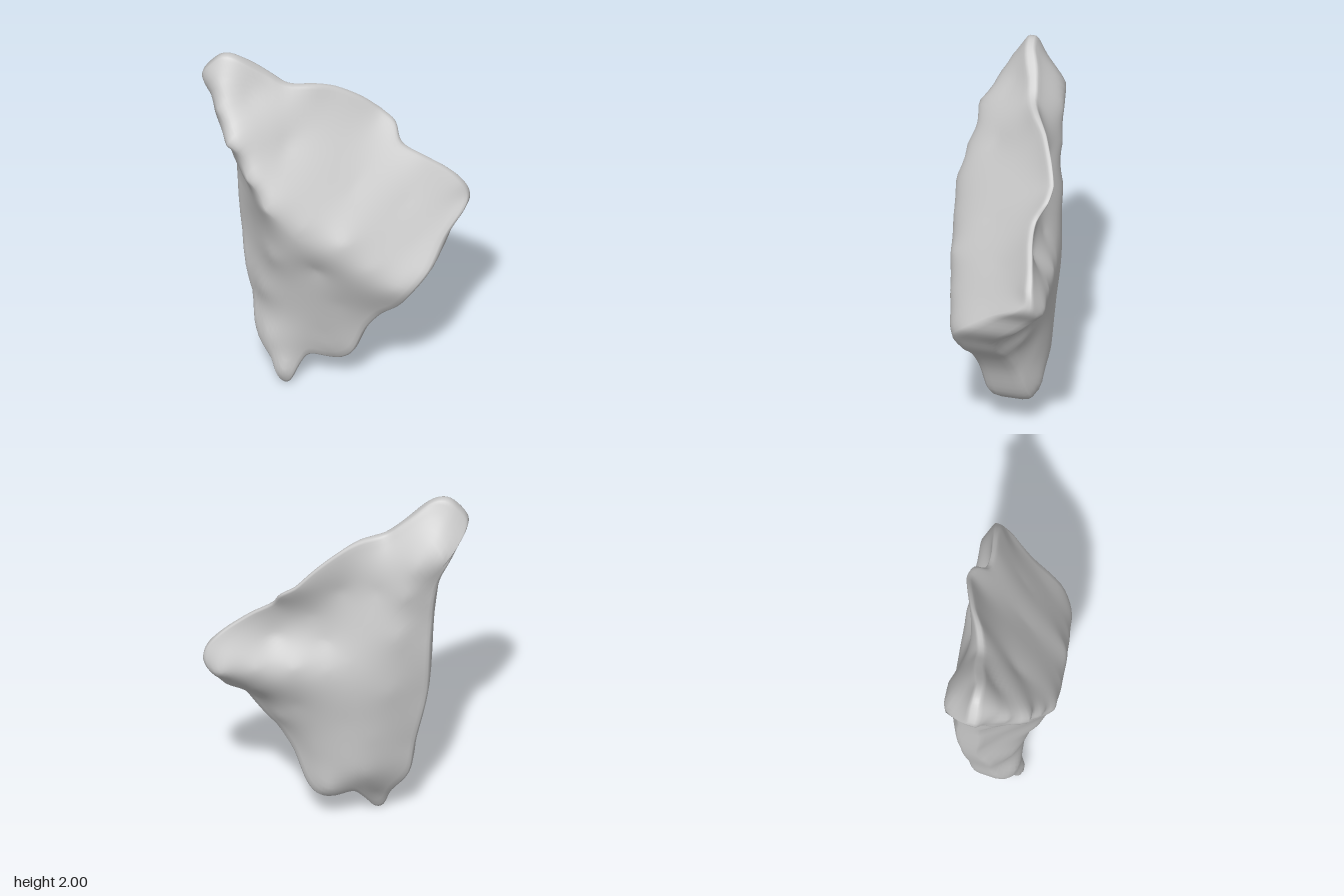
import * as THREE from 'three';
import { mergeVertices } from 'three/addons/utils/BufferGeometryUtils.js';

// Rim of the rock, counter-clockwise from the bottom tip: x, y, front z, back z
const rim = [
  [-0.23, 0.02, 0.13, 0.04], [-0.18, 0.015, 0.13, 0.03], [-0.13, 0.12, 0.11, -0.05], [-0.08, 0.18, 0.09, -0.1],
  [0.03, 0.155, 0.05, -0.12], [0.1, 0.18, 0.06, -0.14], [0.16, 0.25, 0.08, -0.13], [0.23, 0.42, 0.1, -0.1],
  [0.32, 0.55, 0.125, -0.07], [0.42, 0.64, 0.15, -0.04], [0.5, 0.75, 0.17, -0.05], [0.58, 0.86, 0.09, -0.17],
  [0.62, 0.98, -0.07, -0.28], [0.675, 1.07, -0.2, -0.31], [0.68, 1.13, -0.26, -0.31], [0.65, 1.2, -0.26, -0.3],
  [0.57, 1.28, -0.25, -0.28], [0.45, 1.36, -0.22, -0.25], [0.33, 1.43, -0.21, -0.24], [0.28, 1.52, -0.26, -0.29],
  [0.2, 1.58, -0.27, -0.3], [0.1, 1.67, -0.23, -0.26], [-0.02, 1.75, -0.17, -0.2], [-0.12, 1.79, -0.1, -0.14],
  [-0.25, 1.81, -0.04, -0.08], [-0.35, 1.88, -0.01, -0.06], [-0.48, 1.98, 0.04, -0.01], [-0.56, 2, 0.05, 0],
  [-0.62, 1.96, 0.06, 0], [-0.68, 1.86, 0.06, 0], [-0.62, 1.74, 0.06, -0.12], [-0.54, 1.55, 0.07, -0.11],
  [-0.505, 1.3, 0.01, -0.1], [-0.48, 0.85, -0.01, -0.09], [-0.41, 0.5, 0.04, -0.07], [-0.375, 0.29, 0.09, -0.05],
  [-0.28, 0.15, 0.14, -0.02],
];

// Ridges and hollows inside the rim: x, y, z
const frontRelief = [
  [-0.57, 1.87, 0.13], [-0.57, 1.75, 0.18], [-0.48, 1.6, 0.28], [-0.36, 1.42, 0.31], [-0.25, 1.27, 0.345],
  [-0.05, 1.17, 0.31], [0.16, 1.07, 0.265], [0.3, 0.92, 0.235], [0.45, 0.8, 0.2], [-0.4, 1.8, 0.08],
  [-0.2, 1.55, 0.12], [0, 1.45, 0.05], [0.15, 1.3, 0.05], [0.4, 1.18, -0.05], [0.5, 1, 0.02],
  [-0.41, 1.3, 0.145], [-0.39, 1, 0.1], [-0.25, 0.9, 0.24], [-0.33, 0.6, 0.14],
  [-0.3, 0.3, 0.15], [-0.2, 0.1, 0.17], [0, 0.85, 0.23], [0.1, 0.6, 0.16], [0, 0.35, 0.11], [0.03, 0.23, 0.08],
];
const backRelief = [
  // column on the right side, up to its long upright edge
  [-0.53, 1.83, -0.11], [-0.57, 1.74, -0.155], [-0.43, 1.68, -0.18], [-0.38, 1.5, -0.19], [-0.35, 1.25, -0.2],
  [-0.22, 1.5, -0.16], [-0.17, 1.22, -0.21], [-0.3, 0.9, -0.2],
  // sloping recess
  [-0.03, 1.5, -0.17], [0.12, 1.35, -0.19], [0.05, 1.2, -0.2], [0.32, 1.22, -0.21],
  // protruding wedge below the recess
  [-0.13, 0.97, -0.245], [0.03, 1.05, -0.265], [0.2, 1.07, -0.295], [0.4, 1.07, -0.325], [0.6, 1.04, -0.35],
  // lower slope and foot
  [0.42, 0.88, -0.24], [0.2, 0.8, -0.23], [0.3, 0.66, -0.15], [-0.06, 0.7, -0.23], [0.12, 0.5, -0.18],
  [-0.2, 0.6, -0.195], [0, 0.4, -0.2], [-0.15, 0.35, -0.18], [0.03, 0.23, -0.18], [-0.2, 0.13, -0.02],
];

// Smooth surface z(x, y) through scattered points (radial basis plus a plane)
function surfaceThrough(points) {
  const n = points.length, size = n + 3;
  const kernel = (p, x, y) => Math.hypot(p[0] - x, p[1] - y) ** 1.4;
  const row = (x, y) => [...points.map((p) => kernel(p, x, y)), 1, x, y];
  const m = points.map((p) => [...row(p[0], p[1]), p[2]]);
  for (let k = 0; k < 3; k++) {
    m.push([...points.map((p) => [1, p[0], p[1]][k]), 0, 0, 0, 0]);
  }
  for (let c = 0; c < size; c++) {
    let best = c;
    for (let r = c + 1; r < size; r++) if (Math.abs(m[r][c]) > Math.abs(m[best][c])) best = r;
    [m[c], m[best]] = [m[best], m[c]];
    for (let r = 0; r < size; r++) {
      if (r === c) continue;
      const f = m[r][c] / m[c][c];
      for (let k = c; k <= size; k++) m[r][k] -= f * m[c][k];
    }
  }
  const weights = m.map((r, i) => r[size] / r[i]);
  return (x, y) => row(x, y).reduce((sum, v, i) => sum + v * weights[i], 0);
}

function rockGeometry() {
  const front = surfaceThrough([...rim.map((p) => [p[0], p[1], p[2]]), ...frontRelief]);
  const back = surfaceThrough([...rim.map((p) => [p[0], p[1], p[3]]), ...backRelief]);
  const outline = new THREE.CatmullRomCurve3(
    rim.map((p) => new THREE.Vector3(p[0], p[1], 0)), true, 'catmullrom', 0.5);
  const centre = new THREE.Vector2(-0.1, 1.1);
  const segments = 148, steps = 24;

  // Rings run from the front centre, over the rounded rim, to the back centre:
  // [scale of the outline, share of the back surface]
  const rings = [];
  for (let j = 0; j <= steps; j++) rings.push([0.975 * j / steps, 0]);
  rings.push([0.993, 0.06], [1, 0.22], [1, 0.5], [1, 0.78], [0.993, 0.94]);
  for (let j = steps; j >= 0; j--) rings.push([0.975 * j / steps, 1]);

  const positions = [], index = [];
  rings.forEach(([scale, share], j) => {
    for (let i = 0; i < segments; i++) {
      const p = outline.getPoint(i / segments);
      const x = centre.x + (p.x - centre.x) * scale;
      const y = centre.y + (p.y - centre.y) * scale;
      positions.push(x, y, THREE.MathUtils.lerp(front(x, y), back(x, y), share));
      if (j === rings.length - 1) continue;
      const a = j * segments + i, d = j * segments + (i + 1) % segments;
      const b = a + segments, c = d + segments;
      if (j > 0) index.push(a, c, d);
      if (j < rings.length - 2) index.push(a, b, c);
    }
  });
  const geometry = new THREE.BufferGeometry();
  geometry.setAttribute('position', new THREE.Float32BufferAttribute(positions, 3));
  geometry.setIndex(index);
  const merged = mergeVertices(geometry, 1e-5);
  merged.computeVertexNormals();
  return merged;
}

export function createModel() {
  const group = new THREE.Group();
  group.name = 'rock';
  const body = new THREE.Mesh(rockGeometry(), new THREE.MeshStandardMaterial({ color: 0xcccccc }));
  body.name = 'rockBody';
  group.add(body);
  return group;
}
